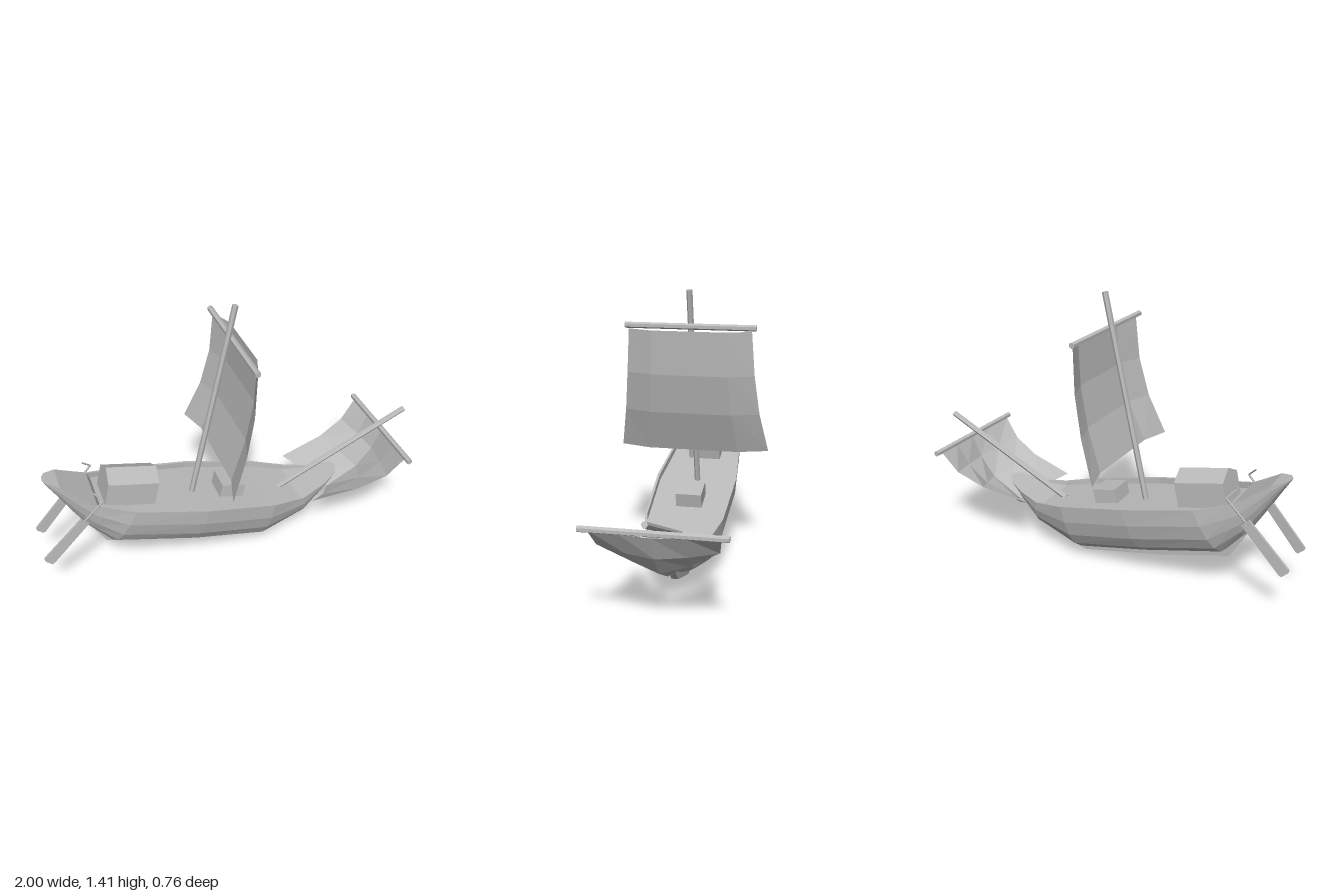
import * as THREE from 'three';

const grey = new THREE.MeshStandardMaterial({ color: 0xbbbbbb, flatShading: true, side: THREE.DoubleSide });
grey.name = 'plain grey';
const TILT = -0.228; // the boat pitches down at the bow

function add(parent, name, geometry) {
  const mesh = new THREE.Mesh(geometry, grey);
  mesh.name = name;
  parent.add(mesh);
  return mesh;
}

// Surface through rows of [x, y, z] points
function loft(rows, closed = false) {
  const n = rows[0].length, index = [];
  for (let i = 0; i < rows.length - 1; i++)
    for (let j = 0; j < (closed ? n : n - 1); j++) {
      const k = (j + 1) % n;
      const a = i * n + j, b = i * n + k, c = a + n, d = b + n;
      index.push(a, c, b, b, c, d);
    }
  const g = new THREE.BufferGeometry();
  g.setAttribute('position', new THREE.Float32BufferAttribute(rows.flat(2), 3));
  g.setIndex(index);
  g.computeVertexNormals();
  return g;
}

// Six-sided spar between two points
function spar(parent, name, from, to, radius) {
  const a = new THREE.Vector3(...from), b = new THREE.Vector3(...to);
  const mesh = add(parent, name, new THREE.CylinderGeometry(radius, radius, a.distanceTo(b), 6));
  mesh.position.copy(a).add(b).multiplyScalar(0.5);
  mesh.quaternion.setFromUnitVectors(new THREE.Vector3(0, 1, 0), b.sub(a).normalize());
  return mesh;
}

// Flat plate from an outline, centred on its thickness
function plate(points, depth) {
  const shape = new THREE.Shape(points.map(p => new THREE.Vector2(...p)));
  return new THREE.ExtrudeGeometry(shape, { depth, bevelEnabled: false }).translate(0, 0, -depth / 2);
}

// Hull stations: rim x, rim y, half width, bottom x, bottom y, deck drop
const stations = [
  [-0.942, 0.674, 0.012, -0.942, 0.668, 0],
  [-0.925, 0.67, 0.045, -0.925, 0.64, 0],
  [-0.87, 0.654, 0.075, -0.885, 0.57, 0],
  [-0.8, 0.603, 0.103, -0.82, 0.455, 0],
  [-0.715, 0.545, 0.133, -0.755, 0.35, 0],
  [-0.69, 0.537, 0.142, -0.74, 0.335, 0.03],
  [-0.54, 0.49, 0.182, -0.655, 0.235, 0.03],
  [-0.18, 0.41, 0.21, -0.25, 0.13, 0.03],
  [0.18, 0.325, 0.195, 0.13, 0.04, 0.03],
  [0.36, 0.283, 0.15, 0.39, 0.125, 0.025],
  [0.5, 0.285, 0.088, 0.5, 0.215, 0.01],
  [0.565, 0.308, 0.062, 0.56, 0.275, 0],
  [0.593, 0.322, 0.042, 0.59, 0.305, 0],
  [0.605, 0.328, 0.012, 0.605, 0.322, 0],
];

function hullSection([rx, ry, w, bx, by, drop]) {
  const pts = [], steps = 10;
  for (let i = 0; i <= steps; i++) {
    const t = Math.PI * i / steps, c = Math.cos(t), s = Math.sin(t);
    pts.push([rx + (bx - rx) * s, ry + (by - ry) * s, Math.sign(c) * w * Math.abs(c) ** 0.8]);
  }
  const inner = w * 0.94, dx = drop * Math.sin(TILT);
  pts.push([rx, ry, -inner], [rx + dx, ry - drop, -inner], [rx + dx, ry - drop, inner], [rx, ry, inner]);
  return pts;
}

export function createModel() {
  const boat = new THREE.Group();
  boat.name = 'sailingBoat';

  // Hull with bulwark and deck, and the keel below it
  add(boat, 'hull', loft(stations.map(hullSection), true));
  add(boat, 'keel', plate([
    [-0.87, 0.54], [-0.67, 0.2], [-0.27, 0.09], [0.14, 0], [0.41, 0.1], [0.57, 0.27],
    [0.55, 0.29], [0.39, 0.14], [0.13, 0.06], [-0.25, 0.15], [-0.65, 0.25], [-0.84, 0.53],
  ], 0.032));

  // Cabin with a low gabled roof
  const cabin = add(boat, 'cabin', plate(
    [[-0.085, 0], [0.085, 0], [0.085, 0.13], [0, 0.175], [-0.085, 0.13]], 0.255).rotateY(Math.PI / 2));
  cabin.position.set(-0.55, 0.457, 0);
  cabin.rotation.z = TILT;

  // Cargo crate
  const crate = add(boat, 'crate', new THREE.BoxGeometry(0.128, 0.1, 0.13));
  crate.position.set(-0.01, 0.362, 0);
  crate.rotation.z = TILT;

  // Mast, yard and mainsail
  spar(boat, 'mast', [-0.212, 0.36, 0], [0.028, 1.41, 0], 0.015);
  spar(boat, 'mainYard', [0.015, 1.234, -0.32], [0.015, 1.234, 0.32], 0.015);
  const mainRows = [[0.022, 1.218, 0.3], [0.006, 1.0, 0.315], [-0.039, 0.8, 0.338], [-0.12, 0.59, 0.378]];
  add(boat, 'mainsail', loft(mainRows.map(([x, y, w]) =>
    [-1, -0.6, 0.6, 1].map(f => [x + (Math.abs(f) < 1 ? 0.045 : 0), y, f * w]))));

  // Bowsprit, its yard and the foresail
  spar(boat, 'bowsprit', [0.27, 0.27, 0], [0.993, 0.608, 0], 0.015);
  spar(boat, 'foreYard', [0.862, 0.515, -0.32], [0.862, 0.515, 0.32], 0.015);
  // Rows: edge x, edge y, half width, middle x, middle y
  const foreRows = [
    [0.85, 0.508, 0.285, 0.88, 0.503], [0.77, 0.41, 0.268, 0.825, 0.385],
    [0.63, 0.345, 0.24, 0.74, 0.28], [0.385, 0.298, 0.2, 0.57, 0.188],
  ];
  add(boat, 'foresail', loft(foreRows.map(([x, y, w, mx, my]) =>
    [-1, -0.5, 0, 0.5, 1].map(f => {
      const b = 1 - Math.abs(f) ** 1.4;
      return [x + (mx - x) * b, y + (my - y) * b, f * w];
    }))));

  // Steering oars on both quarters, each with a thin shaft and a bent tiller
  for (const side of [-1, 1]) {
    const oar = new THREE.Group();
    oar.name = side > 0 ? 'leftSteeringOar' : 'rightSteeringOar';
    const blade = add(oar, 'oarBlade', plate(
      [[-1.0, 0.275], [-0.997, 0.262], [-0.968, 0.235], [-0.955, 0.24], [-0.765, 0.455], [-0.8, 0.488]], 0.012));
    const p = blade.geometry.attributes.position;
    for (let i = 0; i < p.count; i++)
      p.setZ(i, p.getZ(i) + side * (0.115 + (p.getX(i) + 1) * 0.08));
    blade.geometry.computeVertexNormals();
    spar(oar, 'oarShaft', [-0.8, 0.454, side * 0.132], [-0.686, 0.575, side * 0.142], 0.005);
    spar(oar, 'tiller', [-0.686, 0.575, side * 0.142], [-0.728, 0.62, side * 0.12], 0.004);
    boat.add(oar);
  }
  return boat;
}
